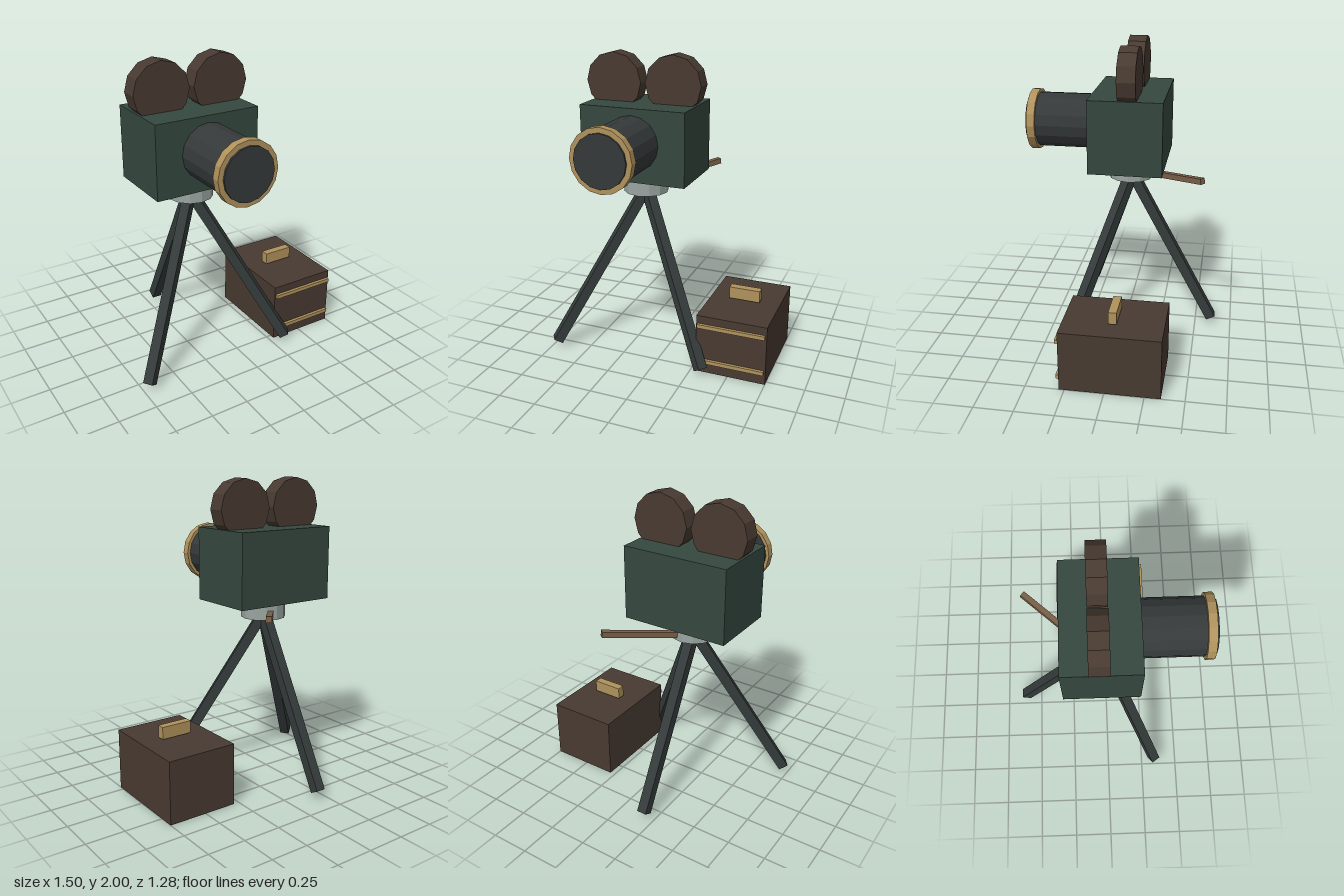
import * as THREE from 'three';

const mat = (color) => new THREE.MeshStandardMaterial({ color, flatShading: true });

export function createModel() {
  const root = new THREE.Group();
  const green = mat(0x35483f), brown = mat(0x483a31), brass = mat(0xb0925c);
  const dark = mat(0x35393a), legGrey = mat(0x343b3a), metal = mat(0x9aa5a0), wood = mat(0x7a5f48);
  const cx = -0.188, cz = -0.035; // camera axis

  const add = (parent, name, geometry, material, x, y, z) => {
    const mesh = new THREE.Mesh(geometry, material);
    mesh.name = name;
    mesh.position.set(x, y, z);
    parent.add(mesh);
    return mesh;
  };
  const box = (parent, name, material, [x0, x1], [y0, y1], [z0, z1]) =>
    add(parent, name, new THREE.BoxGeometry(x1 - x0, y1 - y0, z1 - z0), material,
      (x0 + x1) / 2, (y0 + y1) / 2, (z0 + z1) / 2);
  // Cylinder lying along z from z0 to z1
  const disc = (parent, name, material, r, sides, x, y, z0, z1) =>
    add(parent, name, new THREE.CylinderGeometry(r, r, z1 - z0, sides).rotateX(Math.PI / 2),
      material, x, y, (z0 + z1) / 2);
  // Square bar between two points
  const bar = (parent, name, material, size, from, to) => {
    const a = new THREE.Vector3(...from), b = new THREE.Vector3(...to);
    const mid = a.clone().add(b).multiplyScalar(0.5);
    const mesh = add(parent, name, new THREE.BoxGeometry(size, size, a.distanceTo(b)), material,
      mid.x, mid.y, mid.z);
    mesh.lookAt(b);
    return mesh;
  };

  // Camera body, film reels and lens
  const camera = new THREE.Group();
  camera.name = 'filmCamera';
  root.add(camera);
  box(camera, 'body', green, [-0.54, 0.165], [1.213, 1.688], [-0.272, 0.2]);
  for (const [name, x] of [['rightReel', -0.391], ['leftReel', 0.014]])
    disc(camera, name, brown, 0.188, 12, x, 1.812, -0.107, 0.01);
  disc(camera, 'lensBarrel', dark, 0.18, 16, cx, 1.465, 0.15, 0.6);
  disc(camera, 'lensRing', brass, 0.201, 16, cx, 1.465, 0.577, 0.63);
  disc(camera, 'lensGlass', dark, 0.168, 16, cx, 1.465, 0.6, 0.643);

  // Tripod with pan handle
  const tripod = new THREE.Group();
  tripod.name = 'tripod';
  root.add(tripod);
  add(tripod, 'tripodHead', new THREE.CylinderGeometry(0.147, 0.147, 0.12, 12), metal, cx, 1.155, cz + 0.004);
  const feet = { rightLeg: [-0.712, 0.05, 0.338], leftLeg: [0.336, 0.05, 0.338], backLeg: [cx, 0.053, -0.61] };
  for (const [name, foot] of Object.entries(feet))
    bar(tripod, name, legGrey, 0.065, [cx, 1.12, cz], foot);
  bar(tripod, 'panHandle', wood, 0.037, [-0.145, 1.137, -0.165], [0.16, 1.205, -0.526]);

  // Carrying case with straps and grip
  const luggage = new THREE.Group();
  luggage.name = 'carryingCase';
  root.add(luggage);
  box(luggage, 'caseBox', brown, [0.285, 0.75], [0, 0.405], [-0.352, 0.284]);
  for (const [name, y] of [['lowerStrap', 0.086], ['upperStrap', 0.338]])
    box(luggage, name, brass, [0.295, 0.74], [y - 0.013, y + 0.013], [0.27, 0.304]);
  box(luggage, 'caseGrip', brass, [0.415, 0.62], [0.417, 0.497], [-0.06, -0.007]);

  return root;
}
